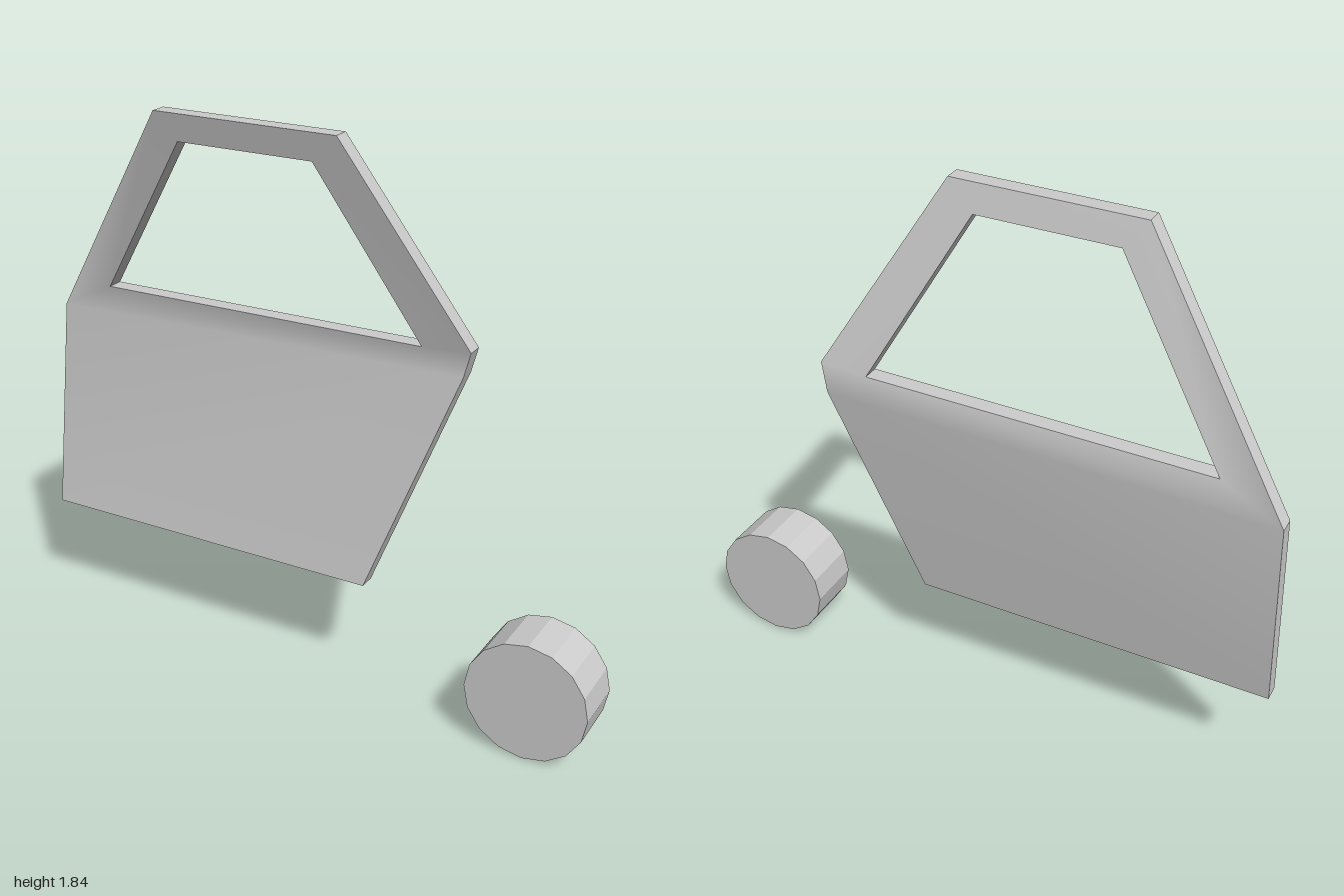
import * as THREE from 'three';

// Corners of the door's back skin: outer outline, then window opening
const CORNERS = [
  [-1, 0.385, -0.02], [0.2, 0.385, -0.02], [0.47, 1.12, -0.125], [0.5, 1.21, -0.105],
  [0.13, 1.84, 0.045], [-0.49, 1.84, 0.045], [-1, 1.09, -0.12],
  [-0.8, 1.19, -0.105], [0.34, 1.2, -0.105], [0.04, 1.75, 0.025], [-0.42, 1.75, 0.025],
];
const OUTLINE = [0, 1, 2, 3, 4, 5, 6];
const WINDOW = [7, 10, 9, 8];
const PANELS = [[0, 1, 2, 6], [6, 2, 8, 7], [2, 3, 8], [3, 4, 9, 8], [4, 5, 10, 9], [5, 6, 7, 10]];
const THICKNESS = 0.055;

function makeGeometry(points, index) {
  const g = new THREE.BufferGeometry();
  g.setAttribute('position', new THREE.Float32BufferAttribute(points.flat(), 3));
  g.setIndex(index);
  g.computeVertexNormals();
  return g;
}

// Smoothly shaded skin, facing front or back
function skin(front) {
  const index = [];
  for (const p of PANELS) {
    for (let i = 1; i < p.length - 1; i++) {
      index.push(...(front ? [p[0], p[i], p[i + 1]] : [p[0], p[i + 1], p[i]]));
    }
  }
  return makeGeometry(CORNERS.map(([x, y, z]) => [x, y, z + (front ? THICKNESS : 0)]), index);
}

// Flat rim joining the two skins along a closed loop
function rim(loop) {
  const points = [], index = [];
  loop.forEach((id, i) => {
    const a = CORNERS[id], b = CORNERS[loop[(i + 1) % loop.length]], n = points.length;
    points.push(a, b, [b[0], b[1], b[2] + THICKNESS], [a[0], a[1], a[2] + THICKNESS]);
    index.push(n, n + 1, n + 2, n, n + 2, n + 3);
  });
  return makeGeometry(points, index);
}

export function createModel() {
  const model = new THREE.Group();
  const grey = new THREE.MeshStandardMaterial({ color: 0xcccccc });
  grey.name = 'light grey';
  const flatGrey = grey.clone();
  flatGrey.flatShading = true;

  const add = (parent, name, geometry, material) => {
    const mesh = new THREE.Mesh(geometry, material);
    mesh.name = name;
    parent.add(mesh);
    return mesh;
  };

  // Bent door with a window opening
  const door = new THREE.Group();
  door.name = 'door';
  add(door, 'doorFront', skin(true), grey);
  add(door, 'doorBack', skin(false), grey);
  add(door, 'doorEdge', rim(OUTLINE), flatGrey);
  add(door, 'windowEdge', rim(WINDOW), flatGrey);
  model.add(door);

  // Sixteen-sided wheel lying beside the door
  const wheel = add(model, 'wheel', new THREE.CylinderGeometry(0.2, 0.2, 0.19, 16), flatGrey);
  wheel.rotation.x = Math.PI / 2;
  wheel.position.set(0.8, 0.2, 0.03);

  return model;
}
